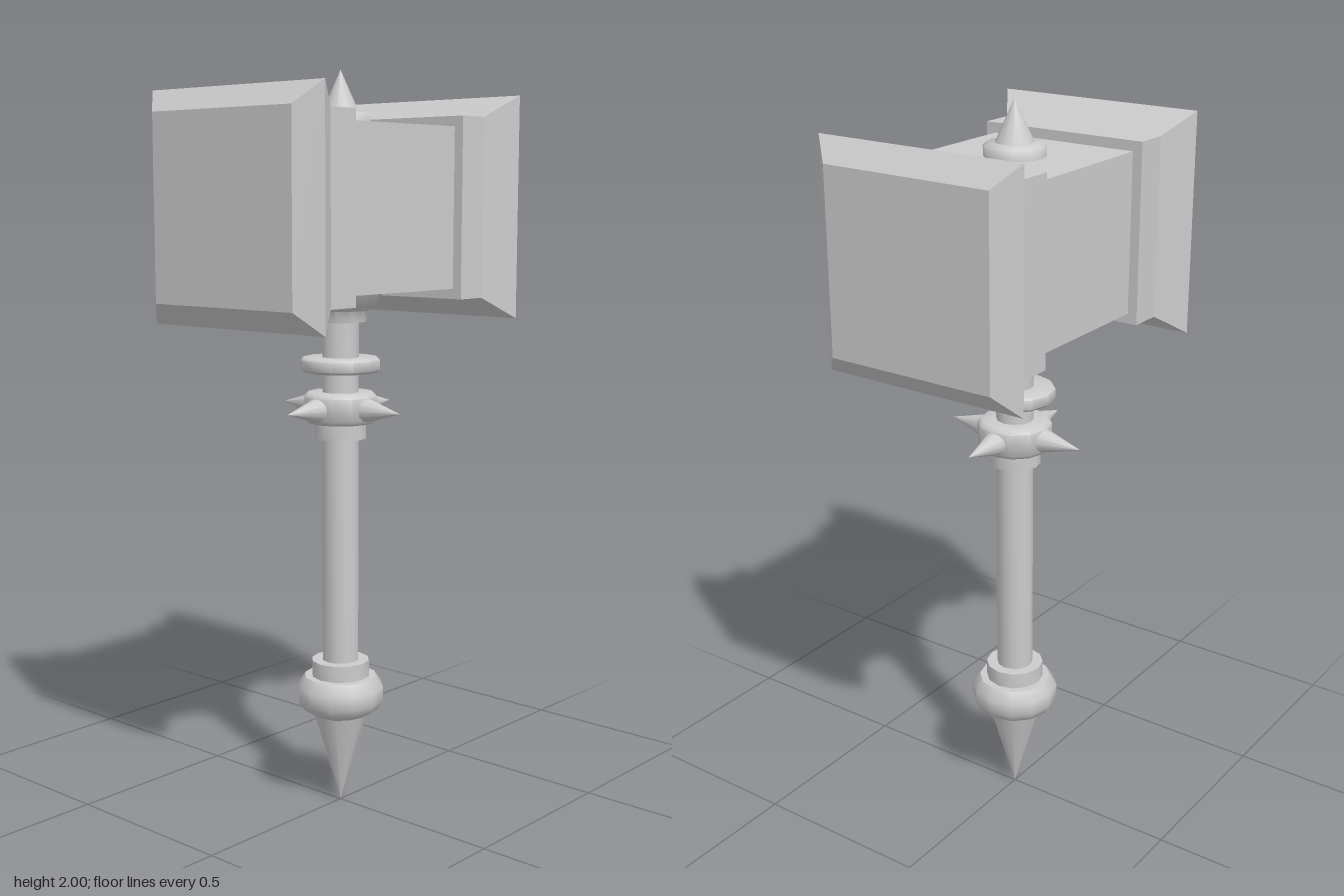
import * as THREE from 'three';
import { toCreasedNormals } from 'three/addons/utils/BufferGeometryUtils.js';

const SIDES = 12;

export function createModel() {
  const model = new THREE.Group();
  const smooth = new THREE.MeshStandardMaterial({ color: 0xcccccc });
  const flat = new THREE.MeshStandardMaterial({ color: 0xcccccc, flatShading: true });

  function add(name, geometry, material = smooth) {
    const mesh = new THREE.Mesh(geometry, material);
    mesh.name = name;
    model.add(mesh);
    return mesh;
  }

  // Turned part from [radius, height] pairs, listed bottom to top
  function turned(name, profile, crease = 0.9) {
    const points = profile.map(([r, y]) => new THREE.Vector2(r, y));
    return add(name, toCreasedNormals(new THREE.LatheGeometry(points, SIDES), crease));
  }

  // Square hammer head: four-sided lathe laid along x, [half width, x]
  const half = [[0.24, 0.44], [0.297, 0.387], [0.24, 0.305], [0.24, 0.213], [0.213, 0.213]];
  const outline = [
    [0, -0.44], ...half.map(([w, x]) => [w, -x]),
    ...half.slice().reverse(), [0, 0.44],
  ].map(([w, x]) => new THREE.Vector2(w * Math.SQRT2, x));
  const headGeometry = new THREE.LatheGeometry(outline, 4, Math.PI / 4);
  headGeometry.rotateZ(-Math.PI / 2);
  add('hammerHead', headGeometry, flat).position.y = 1.643;

  // Finial on top of the head
  turned('finialBase', [[0.08, 1.85], [0.08, 1.882], [0.072, 1.89], [0, 1.89]]);
  turned('finialSpike', [[0.052, 1.885], [0, 2]]);

  // Shaft and the fittings along it
  turned('shaft', [[0.05, 0.38], [0.05, 1.44]]);
  turned('headCollar', [[0.05, 1.345], [0.07, 1.345], [0.075, 1.375], [0.095, 1.388], [0.12, 1.432]]);
  turned('guardRing', [[0.05, 1.21], [0.1, 1.21], [0.108, 1.217], [0.108, 1.243], [0.1, 1.25], [0.05, 1.25]]);
  turned('spikeCollarBase', [[0.05, 1.03], [0.07, 1.03], [0.07, 1.08]]);
  turned('spikeCollar', [[0.05, 1.073], [0.088, 1.073], [0.1, 1.085], [0.1, 1.145], [0.088, 1.156], [0.05, 1.156]]);

  // Four spikes around the collar
  for (let i = 0; i < 4; i++) {
    const spike = new THREE.ConeGeometry(0.036, 0.125, SIDES);
    spike.rotateZ(-Math.PI / 2);
    spike.translate(0.1455, 1.113, 0);
    spike.rotateY(i * Math.PI / 2);
    add('collarSpike', toCreasedNormals(spike, 0.9));
  }

  // Pommel with its pointed end
  turned('pommelCollar', [[0.08, 0.36], [0.08, 0.41], [0.05, 0.41]]);
  turned('pommelBulb', [
    [0, 0.255], [0.075, 0.255], [0.105, 0.272], [0.12, 0.297],
    [0.12, 0.335], [0.1, 0.365], [0, 0.365],
  ]);
  turned('pommelSpike', [[0, 0], [0.075, 0.258]]);

  return model;
}
